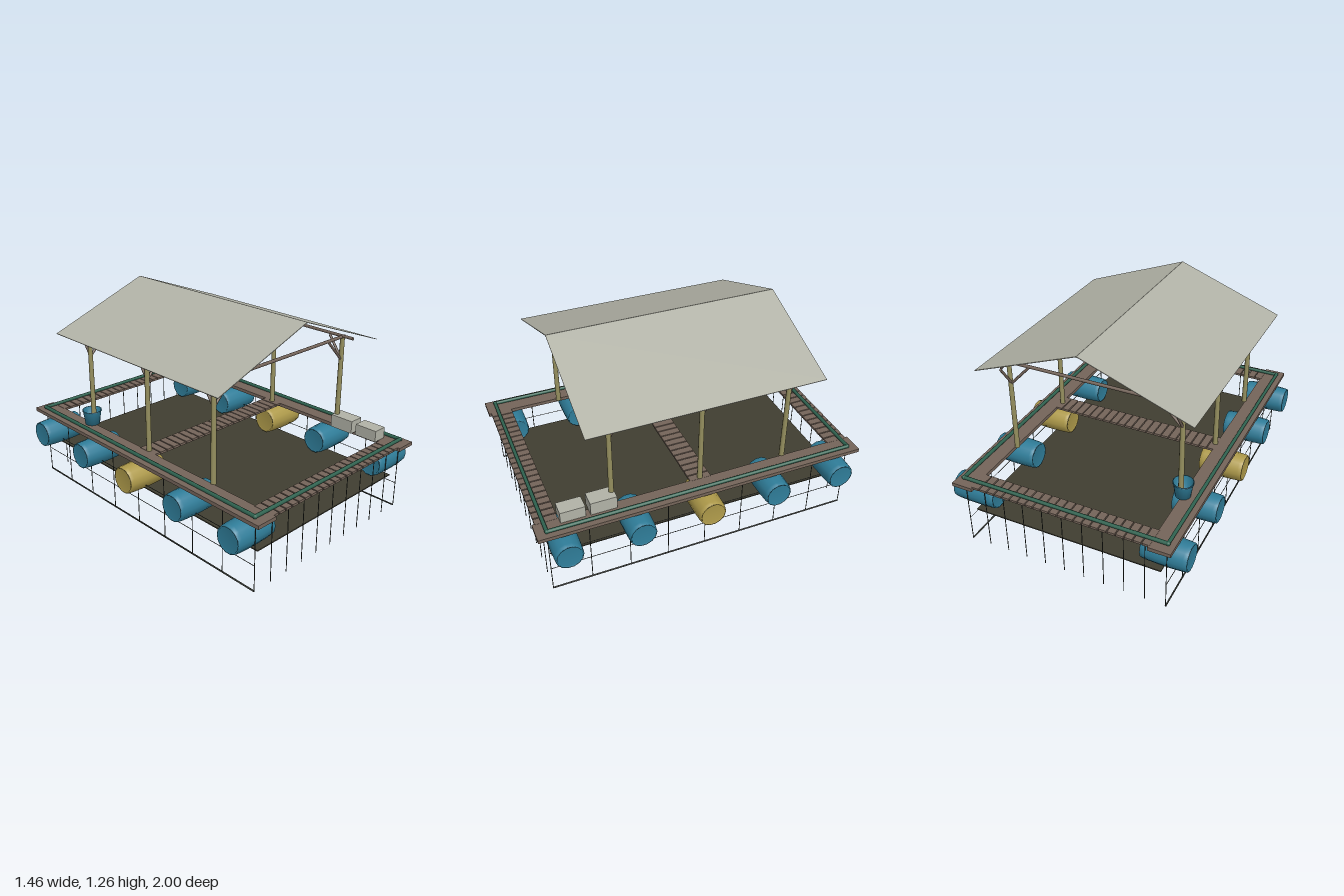
import * as THREE from 'three';

const mat = (name, color, extra = {}) => {
  const m = new THREE.MeshStandardMaterial({ color, ...extra });
  m.name = name;
  return m;
};

export function createModel() {
  const root = new THREE.Group();
  root.name = 'floatingFishCage';
  const wood = mat('brownWood', 0x75655a);
  const bamboo = mat('bamboo', 0x96905f);
  const blue = mat('bluePlastic', 0x2f7d99);
  const yellow = mat('yellowPlastic', 0xae9a4a);
  const green = mat('greenPipe', 0x2f6350);
  const grey = mat('paleGrey', 0xb2b3a7);
  const roofMat = mat('roofSheet', 0xb2b3a7, { side: THREE.DoubleSide });
  const net = mat('darkNet', 0x403e31);
  const rope = mat('rope', 0x363a34);

  const add = (name, geo, material, x = 0, y = 0, z = 0, parent = root) => {
    const m = new THREE.Mesh(geo, material);
    m.name = name;
    m.position.set(x, y, z);
    parent.add(m);
    return m;
  };
  const box = (name, w, h, d, material, x, y, z) =>
    add(name, new THREE.BoxGeometry(w, h, d), material, x, y, z);
  // Round bar between two points, r0 at the start and r1 at the end
  const up = new THREE.Vector3(0, 1, 0);
  const bar = (name, a, b, r0, material, r1 = r0, sides = 8) => {
    const p = new THREE.Vector3(...a), q = new THREE.Vector3(...b);
    const dir = q.clone().sub(p);
    const m = add(name, new THREE.CylinderGeometry(r1, r0, dir.length(), sides), material);
    m.position.copy(p).add(q).multiplyScalar(0.5);
    m.quaternion.setFromUnitVectors(up, dir.normalize());
    return m;
  };

  // Side walkways
  for (const s of [-1, 1]) box('sideWalkway', 0.13, 0.022, 2, wood, s * 0.605, 0.433, 0);

  // Slatted cross walkways at both ends and the middle
  for (const z of [-0.92, 0, 0.92]) {
    for (let i = 0; i < 22; i++) {
      box('slat', 0.043, 0.014, 0.13, wood, -0.525 + i * 0.05, 0.438, z);
    }
    for (const e of [-0.045, 0.045]) box('slatBearer', 1.08, 0.008, 0.03, wood, 0, 0.432, z + e);
  }

  // Pipe handrail lying round the deck
  const pr = 0.011, px = 0.63, pz = 0.94, py = 0.455;
  for (const s of [-1, 1]) {
    bar('sidePipe', [s * px, py, -pz], [s * px, py, pz], pr, green);
    bar('endPipe', [-px, py, s * pz], [px, py, s * pz], pr, green);
    for (const t of [-1, 1]) add('pipeElbow', new THREE.SphereGeometry(0.013, 10, 8), green, s * px, py, t * pz);
  }

  // Barrel floats with rounded rims
  const profile = [[0, -0.128], [0.07, -0.128], [0.072, -0.135], [0.08, -0.133], [0.083, -0.11],
    [0.086, -0.04], [0.086, 0.04], [0.083, 0.11], [0.08, 0.133], [0.072, 0.135], [0.07, 0.128], [0, 0.128]]
    .map(([r, y]) => new THREE.Vector2(r, y));
  const barrel = new THREE.LatheGeometry(profile, 14);
  for (const s of [-1, 1]) {
    for (let i = -2; i <= 2; i++) {
      const b = add('barrelFloat', barrel, i === 0 ? yellow : blue, s * 0.596, 0.32, i * 0.425);
      b.rotation.z = -s * Math.PI / 2;
    }
  }

  // Net floor
  box('netFloor', 1.17, 0.007, 1.84, net, 0, 0.222, 0);

  // Hanging ropes at the ends and along the sides
  for (const s of [-1, 1]) {
    for (let i = -5; i <= 5; i++) {
      bar('endRope', [i * 0.125, 0.005, s * 0.94], [i * 0.125, 0.43, s * 0.94], 0.0025, rope, 0.0025, 5);
    }
    for (let i = -3; i <= 3; i++) {
      bar('sideRope', [s * 0.625, 0.005, i * 0.235], [s * 0.625, 0.43, i * 0.235], 0.0025, rope, 0.0025, 5);
    }
    for (const [y, r] of [[0.005, 0.005], [0.16, 0.002], [0.28, 0.002]]) {
      bar('longRope', [s * 0.625, y, -0.94], [s * 0.625, y, 0.94], r, rope, r, 5);
    }
  }

  // Posts, beams and braces of the shelter
  for (const z of [-0.54, 0, 0.54]) {
    bar('crossBeam', [-0.555, 1.025, z], [0.555, 1.025, z], 0.01, wood);
    for (const s of [-1, 1]) {
      bar('post', [s * 0.532, 0.44, z], [s * 0.532 + 0.004, 1.03, z], 0.016, bamboo, 0.014, 10);
      bar('crossBrace', [s * 0.53, 0.885, z], [s * 0.4, 1.022, z], 0.008, wood);
      bar('longBrace', [s * 0.53, 0.89, z], [s * 0.53, 1.02, z - 0.09], 0.008, wood);
    }
  }
  for (const s of [-1, 1]) bar('longBeam', [s * 0.532, 1.03, -0.62], [s * 0.532, 1.03, 0.62], 0.01, wood);

  // Thin gable roof
  const slope = Math.atan2(0.243, 0.654);
  for (const s of [-1, 1]) {
    const r = box('roofSlope', Math.hypot(0.654, 0.243), 0.004, 1.4, roofMat, s * 0.327, 1.1415, 0);
    r.rotation.z = -s * slope;
  }
  bar('ridgeCap', [0, 1.26, -0.7], [0, 1.26, 0.7], 0.004, roofMat, 0.004, 6);

  // Bucket, open at the top
  const bucket = [[0, 0], [0.045, 0], [0.057, 0.085], [0.061, 0.085], [0.061, 0.092], [0.056, 0.092], [0.042, 0.006], [0, 0.006]]
    .map(([r, y]) => new THREE.Vector2(r, y));
  add('bucket', new THREE.LatheGeometry(bucket, 16), blue, -0.545, 0.446, -0.54);

  // Storage boxes
  box('storageBox', 0.09, 0.07, 0.145, grey, 0.545, 0.482, 0.78);
  box('storageBox', 0.095, 0.08, 0.155, grey, 0.543, 0.485, 0.603);

  return root;
}
